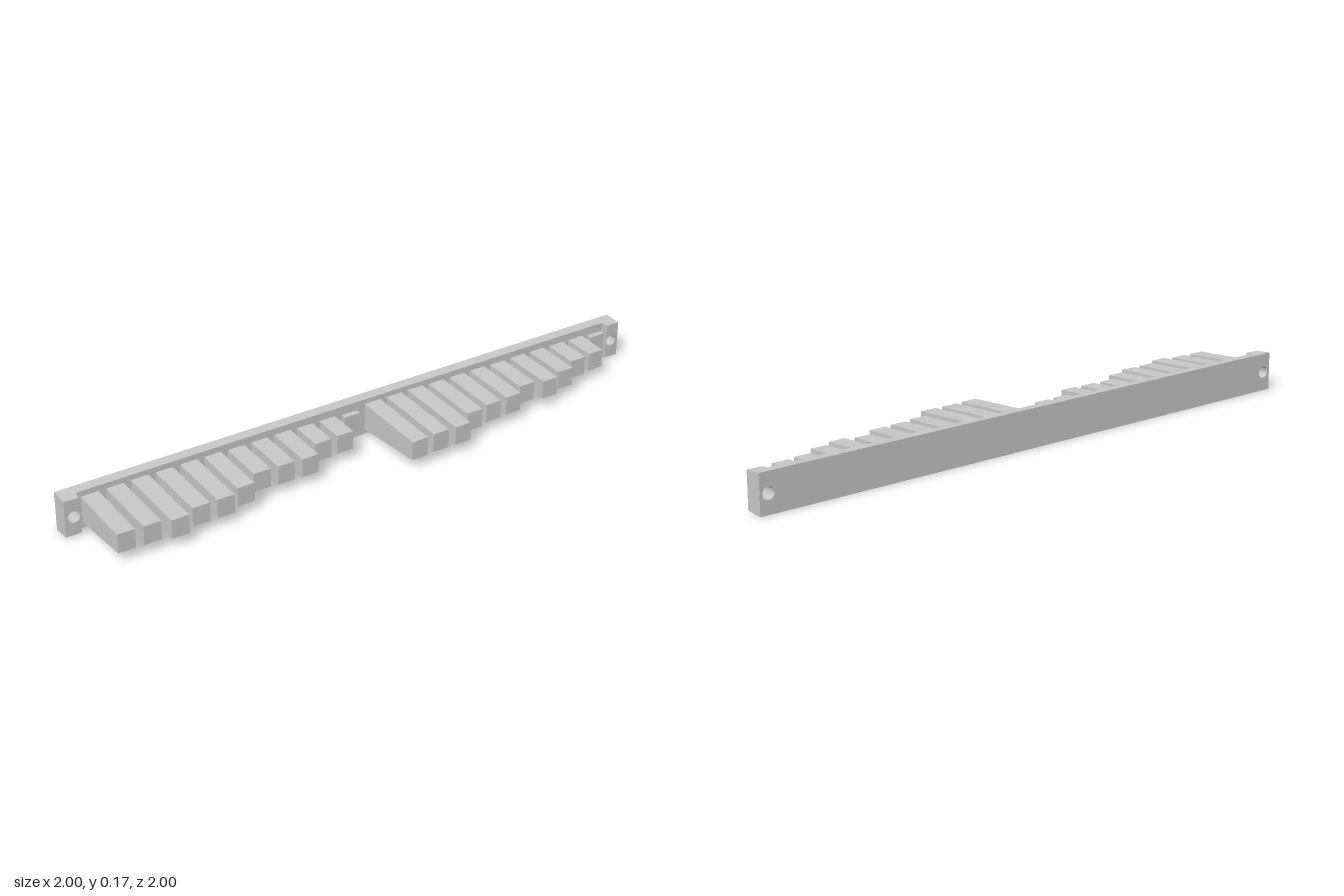
import * as THREE from 'three';

const LENGTH = 2.664, HEIGHT = 0.165, BAR_DEPTH = 0.045, EAR_DEPTH = 0.077, EAR_WIDTH = 0.065;
const HOLE_INSET = 0.038, HOLE_RADIUS = 0.026;
const PITCH = 0.1055, TOOTH_WIDTH = 0.074, TIP_HEIGHT = 0.08;

// Each row of teeth: where it starts along the bar, and how far each tip reaches
const ROWS = [
  { start: 0.086, reach: [0.33, 0.335, 0.355, 0.325, 0.325, 0.295, 0.24, 0.245, 0.25, 0.18, 0.175, 0.068] },
  { start: 1.359, reach: [0.38, 0.375, 0.377, 0.315, 0.30, 0.295, 0.25, 0.27, 0.24, 0.195, 0.184, 0.068] },
];

// Rectangular plate with round through holes, narrowing slightly in height toward +z
function plate(x0, x1, z0, z1, holes) {
  const h = HEIGHT / 2;
  const shape = new THREE.Shape();
  shape.moveTo(x0, -h);
  shape.lineTo(x1, -h);
  shape.lineTo(x1, h);
  shape.lineTo(x0, h);
  shape.closePath();
  for (const x of holes) {
    shape.holes.push(new THREE.Path().absarc(x, 0, HOLE_RADIUS, 0, Math.PI * 2, true));
  }
  const geo = new THREE.ExtrudeGeometry(shape, { depth: z1 - z0, bevelEnabled: false, curveSegments: 12 });
  geo.translate(0, 0, z0);
  const p = geo.attributes.position;
  for (let i = 0; i < p.count; i++) p.setY(i, p.getY(i) * (1 - 0.9 * p.getZ(i)));
  geo.computeVertexNormals();
  return geo;
}

// Tooth whose top and bottom slope from a taller root to the tip
function tooth(reach) {
  const root = BAR_DEPTH - 0.005, depth = reach - root;
  const geo = new THREE.BoxGeometry(TOOTH_WIDTH, TIP_HEIGHT, depth);
  geo.translate(0, 0, root + depth / 2);
  const p = geo.attributes.position;
  for (let i = 0; i < p.count; i++) {
    p.setY(i, Math.sign(p.getY(i)) * (TIP_HEIGHT / 2 + (reach - p.getZ(i)) * 0.055));
  }
  geo.computeVertexNormals();
  return geo;
}

export function createModel() {
  const model = new THREE.Group();
  model.name = 'toothedBar';
  const grey = new THREE.MeshStandardMaterial({ color: 0xc6c6c6 });
  grey.name = 'lightGrey';

  // Diagonal frame: x runs along the bar, z points out along the teeth
  const frame = new THREE.Group();
  frame.name = 'diagonalFrame';
  frame.position.set(-1, HEIGHT / 2, 0.816);
  frame.rotation.y = Math.atan2(1.813, 1.952);
  model.add(frame);

  const add = (name, geo, x = 0) => {
    const mesh = new THREE.Mesh(geo, grey);
    mesh.name = name;
    mesh.position.x = x;
    frame.add(mesh);
  };

  // Back bar and the thicker screw ears at its ends
  const holes = [HOLE_INSET, LENGTH - HOLE_INSET];
  add('backBar', plate(0, LENGTH, 0, BAR_DEPTH, holes));
  add('rightEar', plate(0, EAR_WIDTH, BAR_DEPTH, EAR_DEPTH, [holes[0]]));
  add('leftEar', plate(LENGTH - EAR_WIDTH, LENGTH, BAR_DEPTH, EAR_DEPTH, [holes[1]]));

  // Two rows of teeth of falling length
  ROWS.forEach(({ start, reach }, r) => reach.forEach((v, k) => {
    add(`row${r + 1}Tooth${k + 1}`, tooth(v), start + k * PITCH + TOOTH_WIDTH / 2);
  }));
  return model;
}
